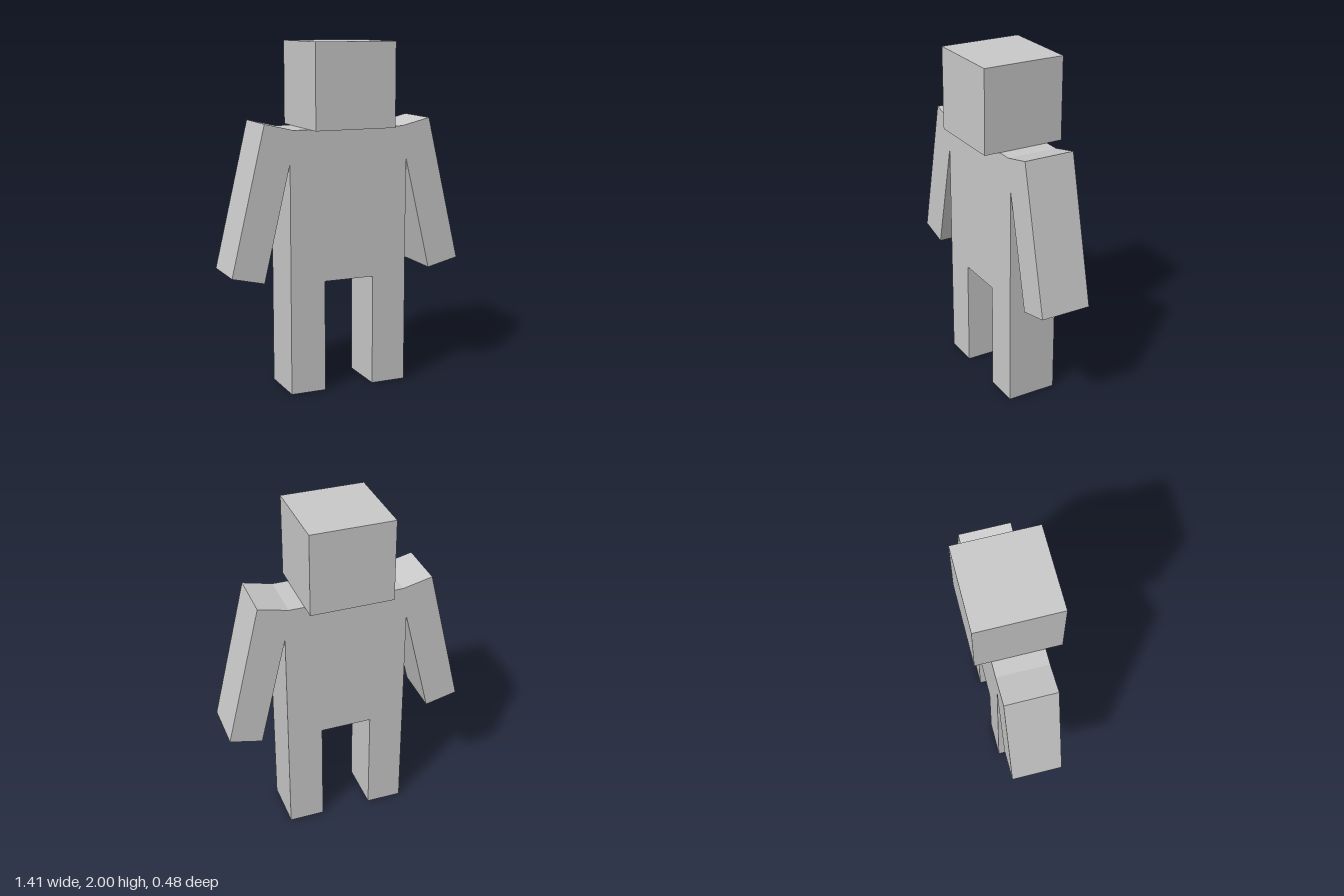
import * as THREE from 'three';

const DEPTH = 0.298; // shared front-to-back thickness of torso and limbs

export function createModel() {
  const model = new THREE.Group();
  model.name = 'blockFigure';
  const material = new THREE.MeshStandardMaterial({ color: 0xcccccc, flatShading: true });

  function addBox(name, w, h, d, x, y, tilt = 0) {
    const mesh = new THREE.Mesh(new THREE.BoxGeometry(w, h, d), material);
    mesh.name = name;
    mesh.position.set(x, y, 0);
    mesh.rotation.z = tilt;
    model.add(mesh);
  }

  // Head and torso
  addBox('head', 0.484, 0.482, 0.484, 0, 1.759);
  addBox('torso', 0.716, 0.87, DEPTH, 0, 1.083);

  // Straight legs and arms that swing outward, mirrored on both sides
  for (const [label, side] of [['left', 1], ['right', -1]]) {
    addBox(label + 'Leg', 0.208, 0.648, DEPTH, side * 0.254, 0.324);
    addBox(label + 'Arm', 0.195, 0.868, DEPTH, side * 0.51, 1.114, side * 0.2313);
  }

  return model;
}
